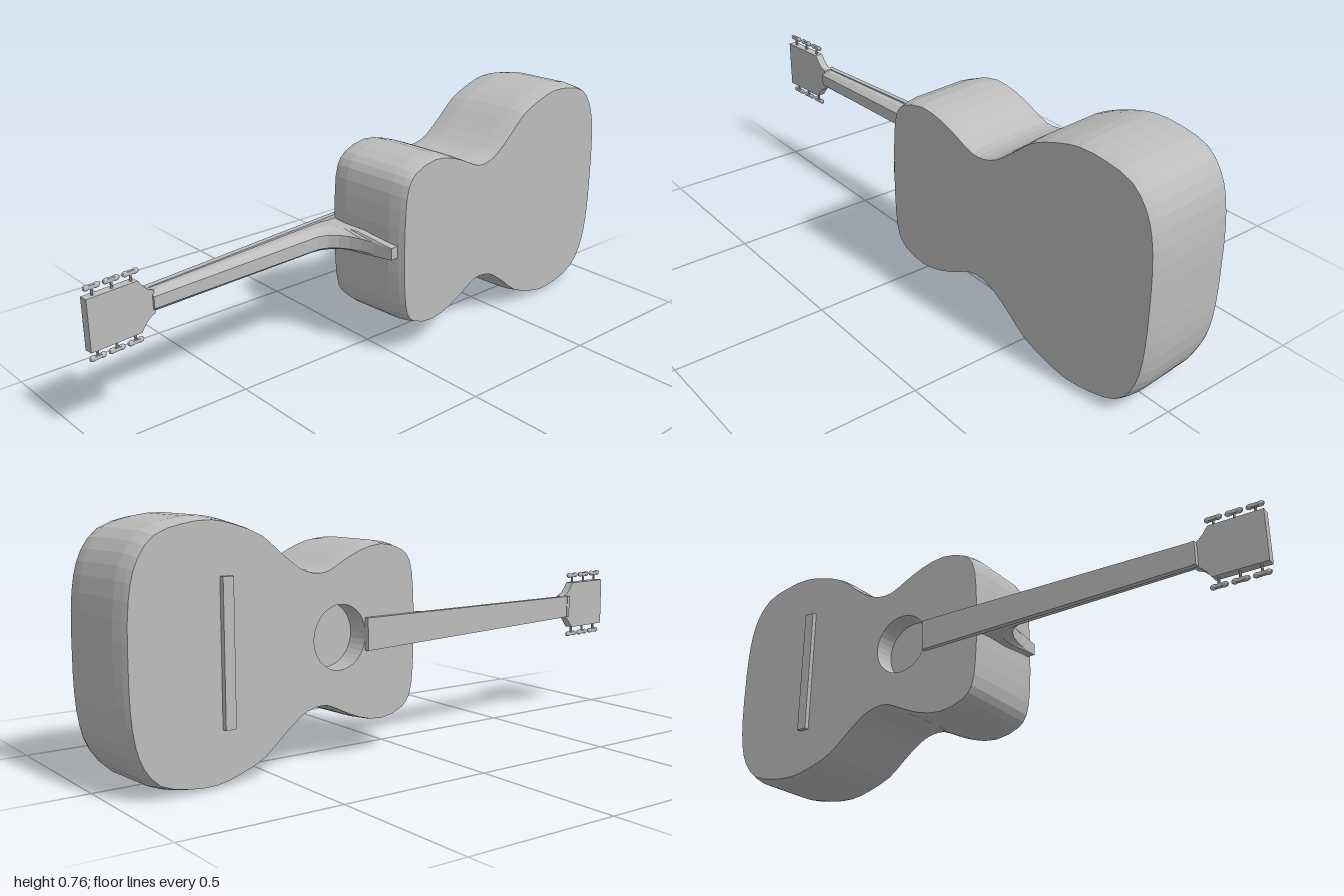
import * as THREE from 'three';

const grey = new THREE.MeshStandardMaterial({ color: 0xbcbcbc, side: THREE.DoubleSide });
grey.name = 'plain grey';
grey.flatShading = true;

const FACE = -0.12, BACK = 0.19;   // depth of soundboard and back
const HOLE = { x: 0.2625, r: 0.1, depth: 0.07 };

function add(parent, name, geometry, x = 0, y = 0, z = 0) {
  const mesh = new THREE.Mesh(geometry, grey);
  mesh.name = name;
  mesh.position.set(x, y, z);
  parent.add(mesh);
  return mesh;
}

// Skin a list of equal-length rings, optionally closing both ends
function loft(rings, capped = true) {
  const n = rings[0].length, index = [];
  for (let i = 0; i < rings.length - 1; i++) {
    for (let j = 0; j < n; j++) {
      const k = (j + 1) % n, a = i * n, b = a + n;
      index.push(a + j, a + k, b + k, a + j, b + k, b + j);
    }
  }
  const last = (rings.length - 1) * n;
  if (capped) {
    for (let j = 1; j < n - 1; j++) {
      index.push(0, j + 1, j, last, last + j, last + j + 1);
    }
  }
  const geometry = new THREE.BufferGeometry();
  geometry.setAttribute('position', new THREE.Float32BufferAttribute(rings.flat(2), 3));
  geometry.setIndex(index);
  const flat = geometry.toNonIndexed();
  flat.computeVertexNormals();
  return flat;
}

// Figure-eight body outline, counter-clockwise
function bodyOutline() {
  const half = [
    [0.985, 0.12], [0.973, 0.22], [0.948, 0.29], [0.898, 0.347], [0.81, 0.374],
    [0.715, 0.381], [0.64, 0.365], [0.548, 0.33], [0.485, 0.28], [0.41, 0.225],
    [0.36, 0.207], [0.31, 0.207], [0.25, 0.234], [0.18, 0.264], [0.09, 0.281],
    [0.0, 0.257], [-0.032, 0.22], [-0.046, 0.14]];
  const loop = [[0.987, 0], ...half, [-0.05, 0], ...half.slice().reverse().map(([x, y]) => [x, -y])];
  const curve = new THREE.CatmullRomCurve3(loop.map(([x, y]) => new THREE.Vector3(x, y, 0)), true);
  return curve.getPoints(76).slice(0, -1);
}

function buildBody(guitar) {
  const body = new THREE.Group();
  body.name = 'body';
  guitar.add(body);

  const outline = bodyOutline();
  const inset = (d) => outline.map((p) => [
    0.47 + (p.x - 0.47) * (1 - d / 0.52), p.y * (1 - d / 0.38)]);
  const ring = (d, z) => inset(d).map(([x, y]) => [x, y, z]);

  // Sides with softened edges
  add(body, 'sides', loft([
    ring(0.011, FACE), ring(0.006, FACE + 0.02), ring(0, FACE + 0.06),
    ring(0, BACK - 0.06), ring(0.005, BACK - 0.02), ring(0.01, BACK)], false));

  const panel = (d) => new THREE.Shape(inset(d).map(([x, y]) => new THREE.Vector2(x, y)));
  add(body, 'back', new THREE.ShapeGeometry(panel(0.01)), 0, 0, BACK);

  // Soundboard with a round opening
  const board = panel(0.011);
  const opening = new THREE.Path();
  opening.absarc(HOLE.x, 0, HOLE.r, 0, Math.PI * 2, true);
  board.holes.push(opening);
  add(body, 'soundboard', new THREE.ShapeGeometry(board, 18).rotateX(Math.PI), 0, 0, FACE);

  // Sound hole wall and floor
  const wall = new THREE.CylinderGeometry(HOLE.r, HOLE.r, HOLE.depth, 36, 1, true).rotateX(Math.PI / 2);
  add(body, 'soundHoleWall', wall, HOLE.x, 0, FACE + HOLE.depth / 2);
  add(body, 'soundHoleFloor', new THREE.CircleGeometry(HOLE.r, 36).rotateX(Math.PI),
    HOLE.x, 0, FACE + HOLE.depth);

  add(body, 'bridge', new THREE.BoxGeometry(0.035, 0.43, 0.02), 0.67, 0, FACE - 0.006);
}

function buildNeck(guitar) {
  const neck = new THREE.Group();
  neck.name = 'neck';
  guitar.add(neck);

  // Tapering neck sweeping down into the heel: [x, half width, underside]
  const stations = [
    [-0.786, 0.034, -0.085], [-0.165, 0.04, -0.064], [-0.135, 0.04, -0.05], [-0.112, 0.04, -0.025],
    [-0.096, 0.039, 0.005], [-0.084, 0.038, 0.045], [-0.077, 0.037, 0.09], [-0.073, 0.036, 0.165],
    [-0.035, 0.036, 0.165]];
  add(neck, 'neckAndHeel', loft(stations.map(([x, w, under]) => {
    const top = FACE, side = top + (under - top) * 0.5;
    return [[x, -w, top], [x, w, top], [x, w, side], [x, w * 0.55, under],
      [x, -w * 0.55, under], [x, -w, side]];
  })));

  // Fretboard running over the body to the sound hole
  add(neck, 'fretboard', loft([[-0.786, 0.037], [0.164, 0.051]].map(([x, w]) => [
    [x, -w, -0.135], [x, w, -0.135], [x, w, -0.117], [x, -w, -0.117]])));
  add(neck, 'nut', new THREE.BoxGeometry(0.012, 0.074, 0.022), -0.788, 0, -0.126);
}

function buildHeadstock(guitar) {
  const head = new THREE.Group();
  head.name = 'headstock';
  guitar.add(head);

  const edge = [[-0.998, 0.081], [-0.83, 0.081], [-0.815, 0.06], [-0.8, 0.045], [-0.78, 0.036]];
  const shape = new THREE.Shape([...edge, ...edge.slice().reverse().map(([x, y]) => [x, -y])]
    .map(([x, y]) => new THREE.Vector2(x, y)));
  add(head, 'headPlate', new THREE.ExtrudeGeometry(shape, { depth: 0.028, bevelEnabled: false }), 0, 0, -0.12);

  // Three tuning pegs on each edge
  for (const side of [-1, 1]) {
    for (const x of [-0.97, -0.907, -0.844]) {
      const peg = new THREE.Group();
      peg.name = 'tuningPeg';
      peg.position.set(x, 0, -0.106);
      head.add(peg);
      add(peg, 'shaft', new THREE.CylinderGeometry(0.004, 0.004, 0.04, 8), 0, side * 0.09, 0);
      add(peg, 'buttonBar', new THREE.BoxGeometry(0.03, 0.011, 0.01), 0, side * 0.107, 0);
      for (const end of [-1, 1]) {
        const lobe = new THREE.SphereGeometry(0.01, 10, 8).scale(1.2, 0.9, 0.7);
        add(peg, 'buttonLobe', lobe, end * 0.016, side * 0.107, 0);
      }
    }
  }
}

export function createModel() {
  const model = new THREE.Group();
  model.name = 'guitar';

  // Instrument lying on its side, turned slightly about the vertical
  const guitar = new THREE.Group();
  guitar.name = 'instrument';
  guitar.rotation.y = 0.083;
  model.add(guitar);
  buildBody(guitar);
  buildNeck(guitar);
  buildHeadstock(guitar);

  // Stand on the ground and centre
  model.updateMatrixWorld(true);
  const box = new THREE.Box3().setFromObject(model, true);
  const centre = box.getCenter(new THREE.Vector3());
  guitar.position.set(-centre.x, -box.min.y, -centre.z);
  return model;
}
